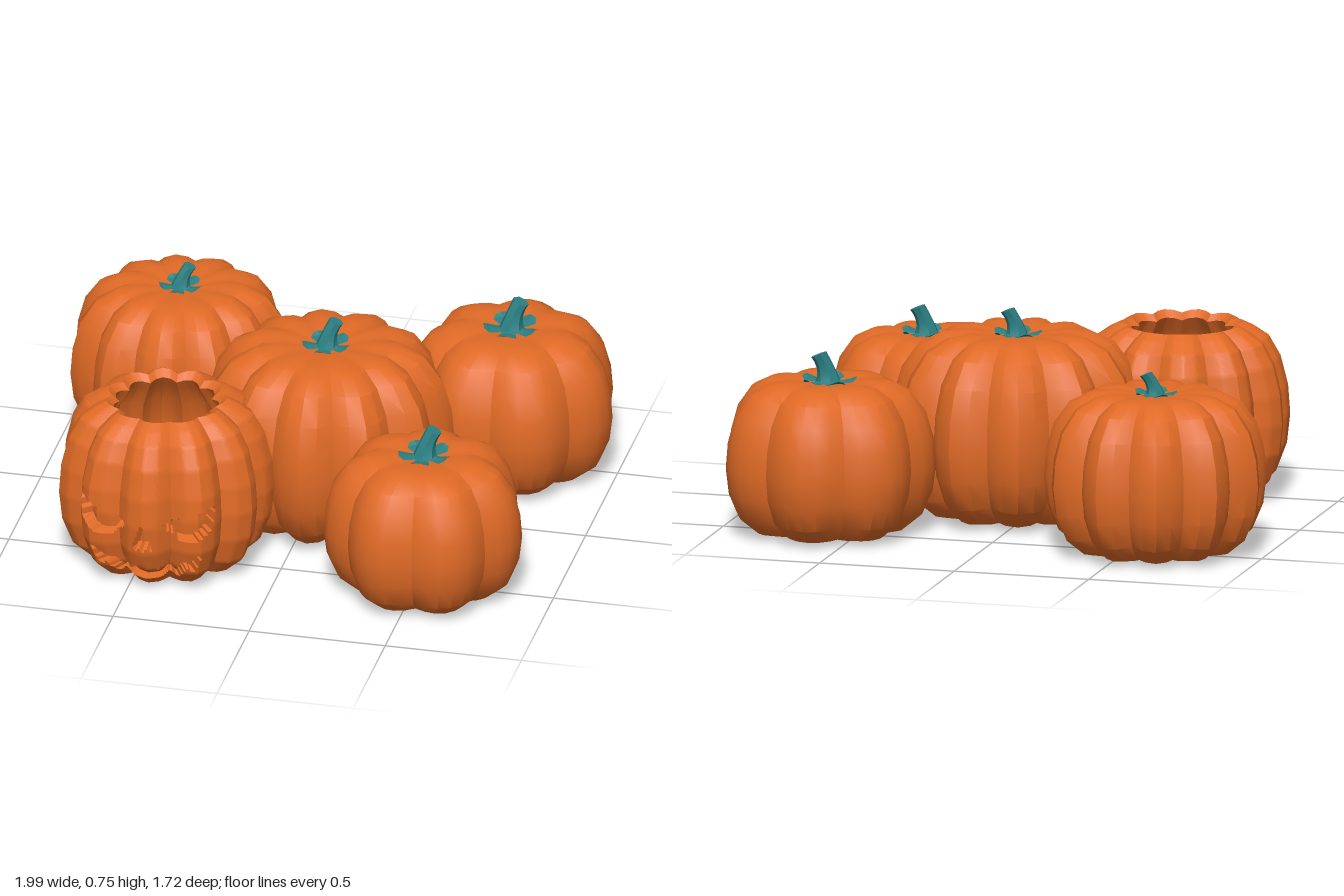
import * as THREE from 'three';
import { toCreasedNormals } from 'three/addons/utils/BufferGeometryUtils.js';

const orange = new THREE.MeshStandardMaterial({ name: 'pumpkin orange', color: 0xe06a26 });
const teal = new THREE.MeshStandardMaterial({ name: 'stem teal', color: 0x2a7f82, side: THREE.DoubleSide });

// Outer profile from base to crown: [share of radius, share of height]
const lower = [[0, 0.04], [0.25, 0.02], [0.5, 0], [0.7, 0.025], [0.87, 0.12], [0.97, 0.28], [1, 0.45], [0.98, 0.62], [0.91, 0.79]];
const whole = [...lower, [0.77, 0.925], [0.58, 0.99], [0.4, 1], [0.2, 0.985], [0, 0.97]];
// Hollow pumpkin: up the outside, over the rim and down the inside
const hollowOuter = [...lower, [0.8, 0.91], [0.66, 0.97], [0.56, 1]];
const hollowInner = [[0.49, 0.96], [0.56, 0.9], [0.72, 0.76], [0.8, 0.5], [0.74, 0.25], [0.55, 0.13], [0, 0.11]];

// Cut each step of a polyline into k equal steps
function subdivide(points, k) {
  const out = [];
  for (let i = 0; i < points.length - 1; i++)
    for (let s = 0; s < k; s++)
      out.push([0, 1].map((c) => points[i][c] + (points[i + 1][c] - points[i][c]) * s / k));
  out.push(points[points.length - 1]);
  return out;
}

// Lobed body: rings of the profile, pulled in at each crease between lobes
function lobedBody({ radius, height, lobes, knots, depth, turn, profile, fine = 1, carve }) {
  const cols = lobes * knots * fine, pos = [], index = [];
  const groove = (k) => 1 - Math.sin(Math.PI * k / knots);
  for (const [r, h] of profile) {
    for (let j = 0; j < cols; j++) {
      const a = turn + (j / cols) * Math.PI * 2;
      const k = (j / fine) % knots, k0 = Math.floor(k);
      const w = groove(k0) + (groove(k0 + 1) - groove(k0)) * (k - k0);
      const y = height * (h - w * depth * 0.35 * (h - 0.5) * r);
      let rad = radius * r * (1 - depth * w);
      if (carve) rad -= carve(rad * Math.cos(a), y, rad * Math.sin(a), r);
      pos.push(rad * Math.cos(a), y, rad * Math.sin(a));
    }
  }
  for (let i = 0; i < profile.length - 1; i++) {
    for (let j = 0; j < cols; j++) {
      const a = i * cols + j, b = i * cols + (j + 1) % cols, c = a + cols, d = b + cols;
      if (profile[i + 1][0] > 0) index.push(a, c, d);
      if (profile[i][0] > 0) index.push(a, d, b);
      if (profile[i + 1][0] === 0) index.push(a, c, b);
    }
  }
  const g = new THREE.BufferGeometry();
  g.setAttribute('position', new THREE.Float32BufferAttribute(pos, 3));
  g.setIndex(index);
  return toCreasedNormals(g, 0.54);
}

// Bent, tapering stem with five leaves around its foot
function stem(size, tall) {
  const group = new THREE.Group();
  group.name = 'stem';
  const g = new THREE.CylinderGeometry(1, 1, 1, 7, 5);
  const p = g.attributes.position;
  for (let i = 0; i < p.count; i++) {
    const t = p.getY(i) + 0.5;
    const r = size * (0.5 - 0.5 * t + 0.28 * t * t);
    const x = p.getX(i) * r;
    p.setXYZ(i, x + 0.03 * t * t, t * tall - x * t * 0.4, p.getZ(i) * r - 0.018 * t * t);
  }
  const stalk = new THREE.Mesh(toCreasedNormals(g, 0.6), teal);
  stalk.name = 'stalk';
  group.add(stalk);

  // Leaf cross-sections: [distance out, half width, height]
  const rows = [[0.2, 0.15, 0.2], [0.5, 0.27, 0.12], [0.82, 0.36, 0.16], [1, 0.2, 0.27]];
  const pos = [], index = [];
  rows.forEach(([d, w, h], i) => {
    pos.push(-w * size, (h - 0.05) * size, d * size, 0, h * size, d * size, w * size, (h - 0.05) * size, d * size);
    if (i) for (const c of [0, 1]) {
      const a = (i - 1) * 3 + c;
      index.push(a, a + 3, a + 4, a, a + 4, a + 1);
    }
  });
  const leaf = new THREE.BufferGeometry();
  leaf.setAttribute('position', new THREE.Float32BufferAttribute(pos, 3));
  leaf.setIndex(index);
  const leafGeometry = toCreasedNormals(leaf, 0.3);
  for (let i = 0; i < 5; i++) {
    const m = new THREE.Mesh(leafGeometry, teal);
    m.name = 'leaf';
    m.rotation.y = i * Math.PI * 2 / 5;
    group.add(m);
  }
  return group;
}

// Face openings, as outlines in x and y; the eyes are mirrored
const eye = [[0.07, 0.285], [0.245, 0.35], [0.235, 0.27], [0.19, 0.23], [0.12, 0.235]];
const nose = [[0, 0.285], [0.035, 0.195], [0.012, 0.205], [0, 0.195], [-0.012, 0.205], [-0.035, 0.195]];
const halfMouth = [[0.03, 0.125], [0.05, 0.095], [0.085, 0.13], [0.12, 0.115], [0.21, 0.165],
  [0.17, 0.095], [0.145, 0.105], [0.11, 0.055], [0.075, 0.08], [0.05, 0.05]];
const mirror = (pts) => pts.map(([x, y]) => [-x, y]).reverse();
const openings = [eye, mirror(eye), nose, [...halfMouth, ...mirror(halfMouth)]];

function inside(x, y, pts) {
  let hit = false;
  pts.forEach(([ax, ay], i) => {
    const [bx, by] = pts[(i + 1) % pts.length];
    if ((ay > y) !== (by > y) && x < ax + (bx - ax) * (y - ay) / (by - ay)) hit = !hit;
  });
  return hit;
}

function addPumpkin(root, name, x, z, options, stemSize, stemTop) {
  const group = new THREE.Group();
  group.name = name;
  group.position.set(x, 0, z);
  const body = new THREE.Mesh(lobedBody(options), orange);
  body.name = 'body';
  group.add(body);
  if (stemSize) {
    const s = stem(stemSize, stemTop - options.height * 0.97);
    s.position.y = options.height * 0.97;
    group.add(s);
  }
  root.add(group);
}

export function createModel() {
  const root = new THREE.Group();
  root.name = 'pumpkinPatch';
  const front = (lobes) => Math.PI / 2 - Math.PI / lobes; // a lobe faces front
  const narrow = { lobes: 11, knots: 4, depth: 0.13, turn: front(11), profile: whole };
  const wide = { lobes: 7, knots: 6, depth: 0.125, profile: whole };

  addPumpkin(root, 'centrePumpkin', 0.05, 0, { ...narrow, radius: 0.458, height: 0.667 }, 0.088, 0.745);
  addPumpkin(root, 'backRightPumpkin', -0.6, -0.48, { ...narrow, radius: 0.402, height: 0.585 }, 0.077, 0.65);
  addPumpkin(root, 'backLeftPumpkin', 0.615, -0.48,
    { ...wide, radius: 0.385, height: 0.557, turn: Math.PI / 2 }, 0.1, 0.65);
  addPumpkin(root, 'frontLeftPumpkin', 0.53, 0.51,
    { ...wide, radius: 0.363, height: 0.53, turn: Math.PI / 2 - 0.08 }, 0.095, 0.62);

  // Hollow carved pumpkin, its face sunk into the front wall
  const outer = subdivide(hollowOuter, 9);
  addPumpkin(root, 'carvedPumpkin', -0.43, 0.47, {
    ...narrow, radius: 0.39, height: 0.63, fine: 6, profile: [...outer, ...hollowInner],
    carve: (x, y, z, r) => (z > 0 && r > 0.81 && openings.some((o) => inside(x, y, o)) ? 0.045 : 0),
  });
  return root;
}
